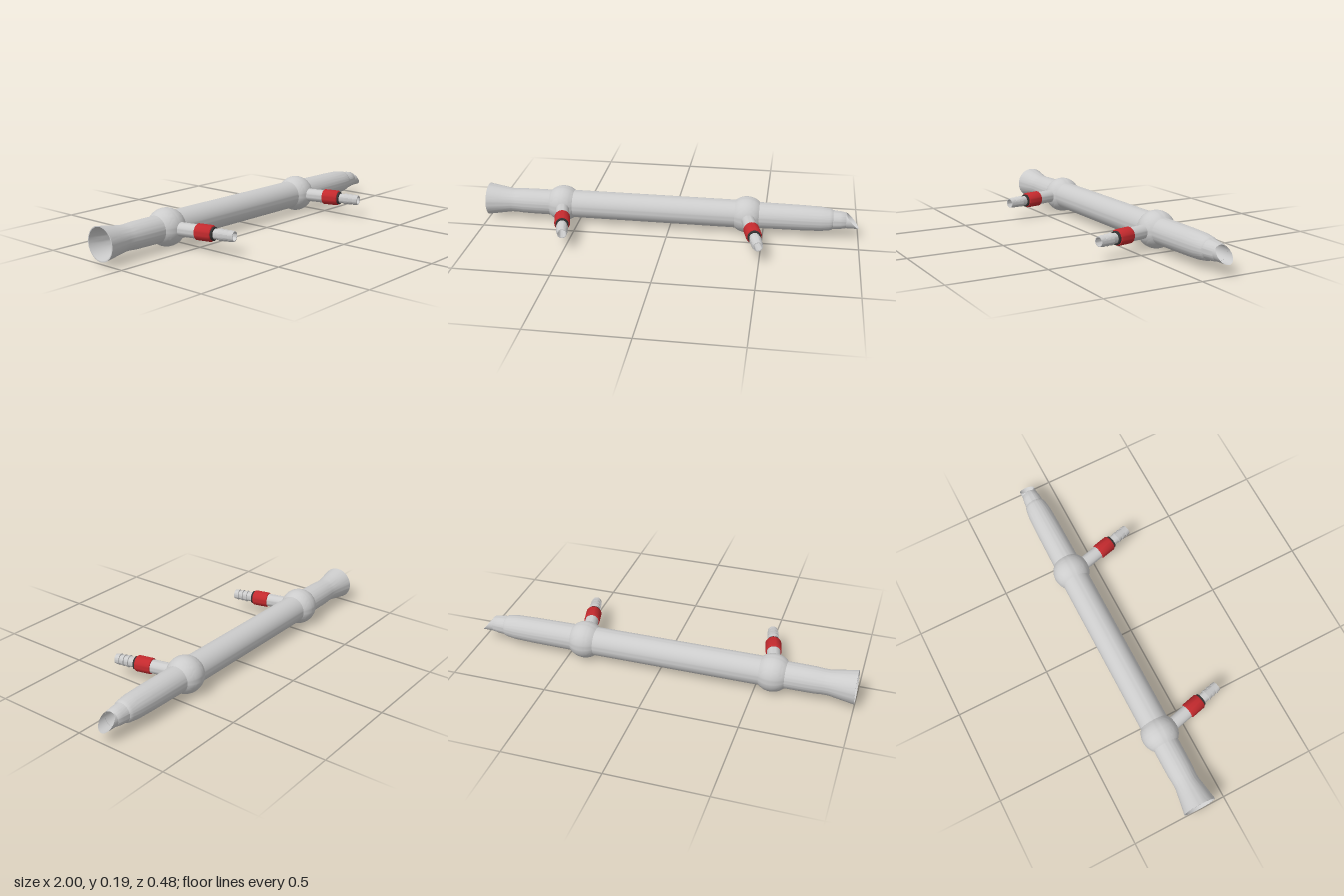
import * as THREE from 'three';
import { toCreasedNormals } from 'three/addons/utils/BufferGeometryUtils.js';

const glass = new THREE.MeshStandardMaterial({ color: 0xcccccc, side: THREE.DoubleSide });
const red = new THREE.MeshStandardMaterial({ color: 0xc42a2e, side: THREE.DoubleSide });
const dark = new THREE.MeshStandardMaterial({ color: 0x333333, side: THREE.DoubleSide });

const AXIS_Y = 0.097, AXIS_Z = -0.143, BULB_R = 0.096;

// Turned part from [position along axis, radius] pairs
function turned(name, profile, material = glass, segments = 48) {
  const points = profile.map(([h, r]) => new THREE.Vector2(r, h));
  const geometry = toCreasedNormals(new THREE.LatheGeometry(points, segments), 0.55);
  const mesh = new THREE.Mesh(geometry, material);
  mesh.name = name;
  return mesh;
}

// Round swelling between two radii, as profile points
function bulb(x, rStart, rEnd) {
  const a0 = Math.PI - Math.asin(rStart / BULB_R), a1 = Math.asin(rEnd / BULB_R);
  return Array.from({ length: 17 }, (_, i) => {
    const a = a0 + (a1 - a0) * i / 16;
    return [x + BULB_R * Math.cos(a), BULB_R * Math.sin(a)];
  });
}

// Side arm with screw cap and barbed hose nozzle, built along +y and swung outward
function sideArm(name, x) {
  const arm = new THREE.Group();
  arm.name = name;
  arm.add(turned('armTube', [[0.06, 0.035], [0.19, 0.035]], glass, 32));
  arm.add(turned('screwCap', [
    [0.183, 0.033], [0.183, 0.038], [0.187, 0.041], [0.262, 0.041], [0.268, 0.038], [0.271, 0.032],
  ], red, 32));
  arm.add(turned('capSeal', [[0.262, 0.034], [0.278, 0.034], [0.28, 0.031], [0.28, 0.022]], dark, 32));
  arm.add(turned('hoseNozzle', [
    [0.26, 0.026], [0.308, 0.026], [0.31, 0.031], [0.335, 0.025],
    [0.336, 0.03], [0.36, 0.024], [0.361, 0.029], [0.386, 0.025],
    [0.386, 0.021], [0.26, 0.019],
  ], glass, 32));
  arm.position.set(x, 0, 0);
  // Lay the arm toward +z, then lean it toward +x
  arm.rotation.order = 'YXZ';
  arm.rotation.set(Math.PI / 2, 0.235, 0);
  return arm;
}

export function createModel() {
  const model = new THREE.Group();
  model.name = 'condenser';

  const body = new THREE.Group();
  body.name = 'glassBody';
  body.rotation.z = -Math.PI / 2;

  // Outer wall: flared socket, bulb, jacket, bulb, tapered joint
  body.add(turned('outerJacket', [
    [-1, 0.086], [-0.985, 0.083], [-0.93, 0.074], [-0.87, 0.064], [-0.84, 0.064],
    [-0.8, 0.067], [-0.72, 0.068],
    ...bulb(-0.585, 0.068, 0.074),
    ...bulb(0.412, 0.074, 0.069),
    [0.7, 0.067], [0.8, 0.064], [0.845, 0.058], [0.858, 0.055], [0.864, 0.05],
    [0.9, 0.047], [0.93, 0.042], [0.935, 0.038],
  ], glass, 64));

  // Inside of the flared socket, narrowing to the inner tube
  body.add(turned('socketBore', [
    [-1, 0.086], [-1, 0.081], [-0.93, 0.069], [-0.86, 0.059], [-0.72, 0.06], [-0.66, 0.04],
  ]));

  // Inner tube, cut obliquely at its lower end
  const tubeGeometry = new THREE.CylinderGeometry(0.041, 0.04, 1.62, 48, 1, true);
  tubeGeometry.rotateZ(-Math.PI / 2);
  const pos = tubeGeometry.attributes.position;
  for (let i = 0; i < pos.count; i++) {
    const atTip = pos.getX(i) > 0;
    pos.setX(i, atTip ? 0.964 - 0.036 * pos.getY(i) / 0.041 : -0.66);
  }
  const tube = new THREE.Mesh(tubeGeometry, glass);
  tube.name = 'innerTubeWithDripTip';

  const assembly = new THREE.Group();
  assembly.name = 'condenserAssembly';
  assembly.position.set(0, AXIS_Y, AXIS_Z);
  assembly.add(body, tube, sideArm('rightSideArm', -0.592), sideArm('leftSideArm', 0.405));
  model.add(assembly);
  return model;
}
